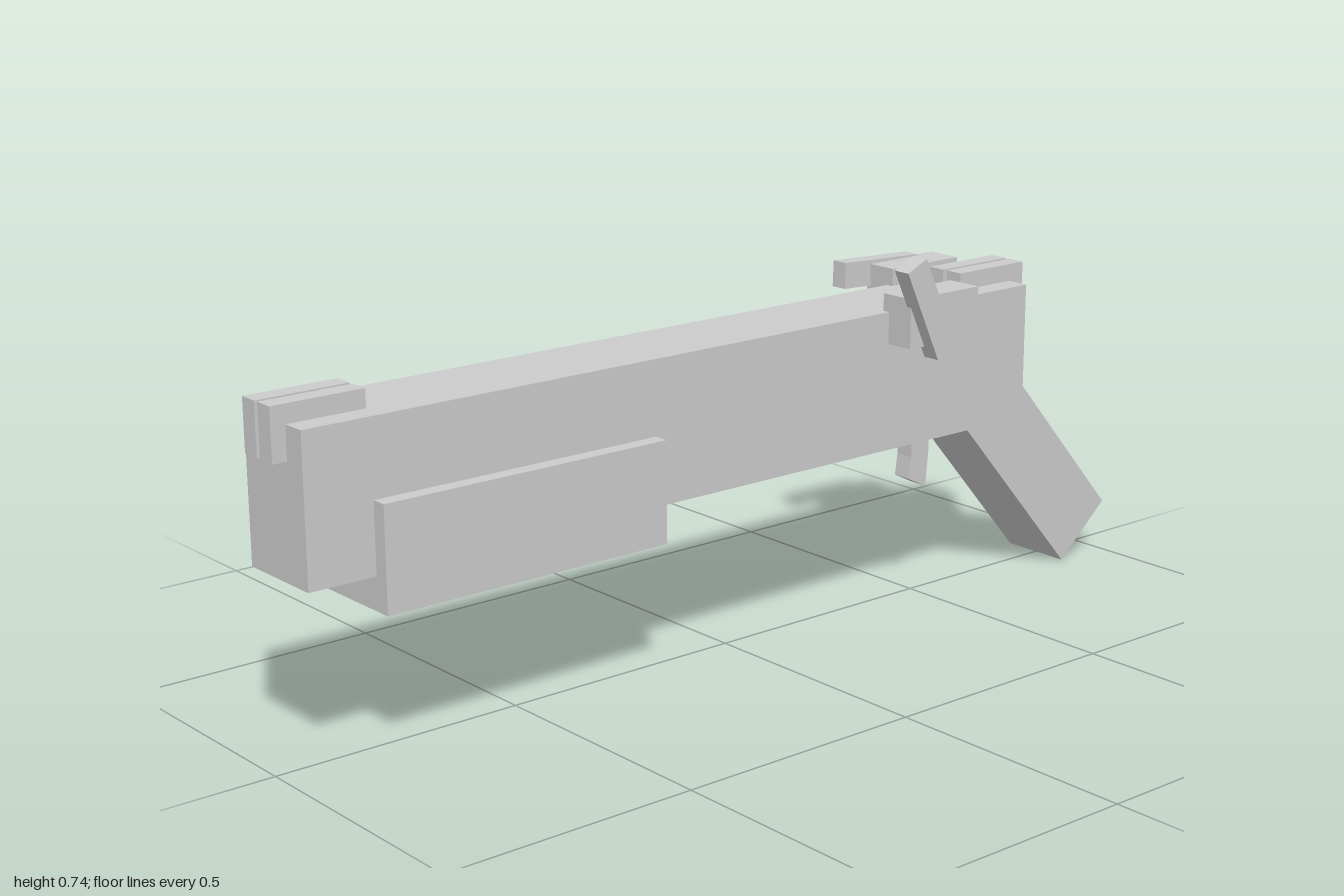
import * as THREE from 'three';

const material = new THREE.MeshStandardMaterial({ color: 0xcccccc, flatShading: true });

export function createModel() {
  const model = new THREE.Group();

  // Box given by its extents on each axis, optionally turned about z (degrees)
  function box(name, [x0, x1], [y0, y1], [z0, z1], turn = 0) {
    const mesh = new THREE.Mesh(new THREE.BoxGeometry(x1 - x0, y1 - y0, z1 - z0), material);
    mesh.position.set((x0 + x1) / 2, (y0 + y1) / 2, (z0 + z1) / 2);
    mesh.rotation.z = THREE.MathUtils.degToRad(turn);
    mesh.name = name;
    model.add(mesh);
    return mesh;
  }

  // Main body and fore-end
  box('body', [-0.972, 0.722], [0.346, 0.623], [-0.09, 0.09]);
  box('foreEnd', [-0.84, -0.24], [0.283, 0.479], [-0.12, 0.12]);

  // Paired sight rails at each end
  for (const side of [-1, 1]) {
    const z = [side * 0.024 - 0.019, side * 0.024 + 0.019];
    box('frontSight', [-1, -0.818], [0.56, 0.658], z);
    box('rearSight', [0.58, 0.76], [0.56, 0.658], z);
  }

  // Slanted grip, measured from the centre of its lower end
  const tilt = THREE.MathUtils.degToRad(41.3);
  const length = 0.46;
  const grip = new THREE.Mesh(new THREE.BoxGeometry(0.163, length, 0.15), material);
  grip.name = 'grip';
  grip.rotation.z = tilt;
  grip.position.set(
    0.9388 - Math.sin(tilt) * length / 2,
    0.0538 + Math.cos(tilt) * length / 2,
    0
  );
  model.add(grip);

  // Trigger with a slanted tip
  const outline = [[0.476, 0.36], [0.476, 0.29], [0.47, 0.246], [0.517, 0.223], [0.524, 0.29], [0.524, 0.36]];
  const triggerShape = new THREE.Shape(outline.map(([x, y]) => new THREE.Vector2(x, y)));
  const triggerGeometry = new THREE.ExtrudeGeometry(triggerShape, { depth: 0.04, bevelEnabled: false });
  const trigger = new THREE.Mesh(triggerGeometry.translate(0, 0, -0.02), material);
  trigger.name = 'trigger';
  model.add(trigger);

  // Left hammer and its raised lever
  box('leftHammer', [0.338, 0.52], [0.56, 0.658], [0.075, 0.15]);
  box('leftLever', [0.3425, 0.3955], [0.538, 0.738], [0.14, 0.177], 25);

  // Right hammer and its lowered lever
  box('rightHammer', [0.507, 0.69], [0.56, 0.658], [-0.15, -0.075]);
  box('rightLever', [0.437, 0.639], [0.612, 0.665], [-0.176, -0.14], -2.4);

  return model;
}
